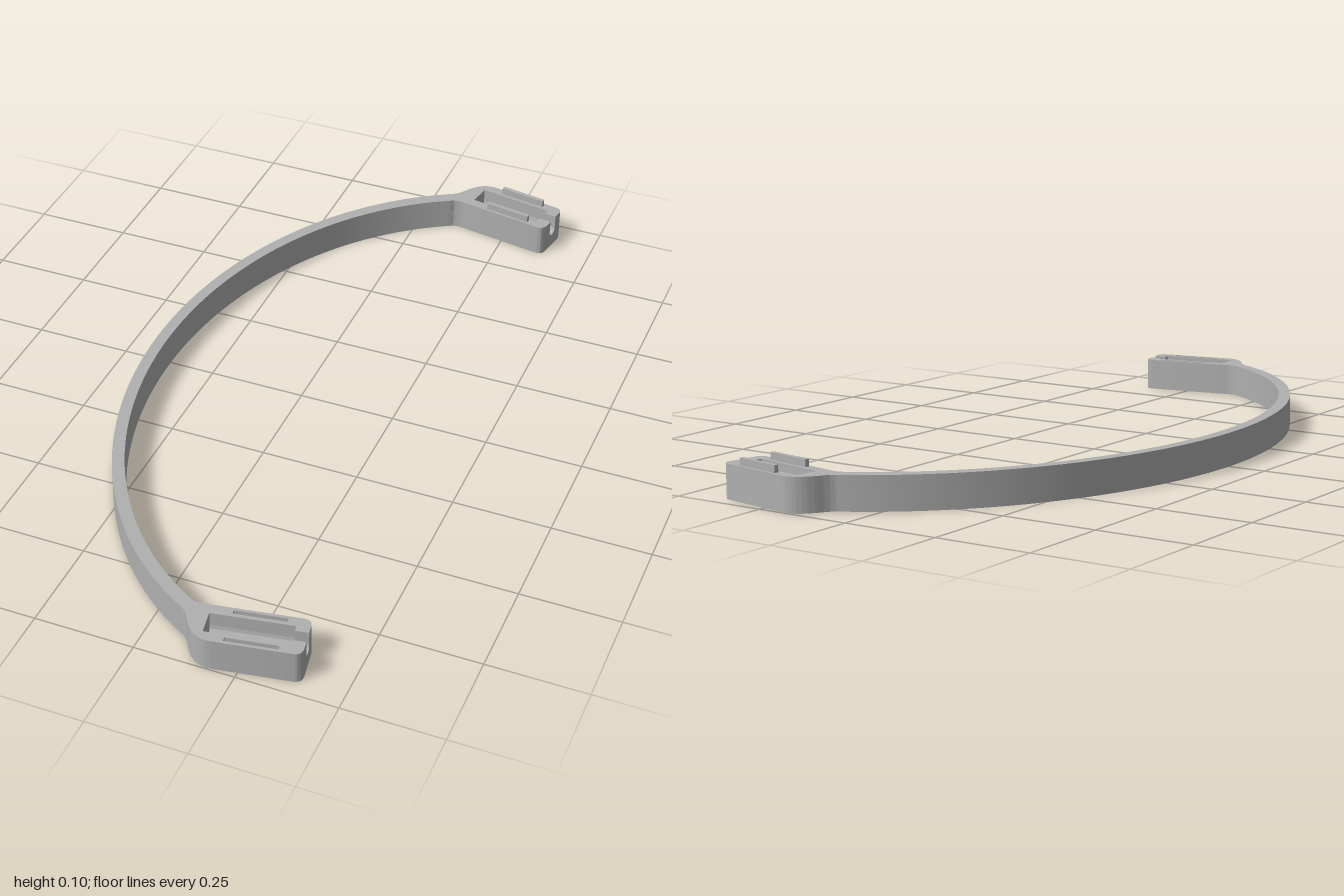
import * as THREE from 'three';
import { toCreasedNormals } from 'three/addons/utils/BufferGeometryUtils.js';

const TILT = THREE.MathUtils.degToRad(10);
const POD = { x: 0.27, z: 0.923 };
const END = 0.118, HALF = 0.058;               // pod end and half width
const SLOT = { start: -0.115, end: 0.085, half: 0.03 };
const NOTCH = 0.015;                           // half width of the end notch
const RAIL = { length: 0.126, width: 0.011, offset: 0.045 };

// pod coordinates (u along the pod, v outward) to plan coordinates (x, z)
const pod = (u, v) => new THREE.Vector2(
  POD.x + u * Math.cos(TILT) + v * Math.sin(TILT),
  POD.z - u * Math.sin(TILT) + v * Math.cos(TILT));

const rect = (u0, u1, v0, v1) => [pod(u0, v0), pod(u1, v0), pod(u1, v1), pod(u0, v1)];
const flip = (points) => points.map((p) => new THREE.Vector2(p.x, -p.y)).reverse();

// plan outline of the whole band with both pods, optionally cut open by notch and slot
function outline(open) {
  const p = new THREE.Path();
  const line = (u, v) => { const a = pod(u, v); p.lineTo(a.x, a.y); };
  const curve = (cu, cv, u, v) => {
    const c = pod(cu, cv), a = pod(u, v);
    p.quadraticCurveTo(c.x, c.y, a.x, a.y);
  };
  const r = 0.022;
  p.absellipse(0.4, 0, 0.8, 1, Math.PI, Math.PI - 1.166, true);
  p.quadraticCurveTo(0.1, 0.927, 0.113, 0.95);
  curve(-0.137, HALF, -0.09, HALF);
  line(END - r, HALF);
  curve(END, HALF, END, HALF - r);
  if (open) {
    const { start, end, half } = SLOT;
    line(END, NOTCH); line(end, NOTCH); line(end, half); line(start, half);
    line(start, -half); line(end, -half); line(end, -NOTCH); line(END, -NOTCH);
  }
  line(END, -HALF + r);
  curve(END, -HALF, END - r, -HALF);
  line(-0.125, -HALF);
  p.quadraticCurveTo(0.118, 0.893, 0.1, 0.889);
  p.absellipse(0.4, 0, 0.77, 0.965, Math.PI - 1.17, Math.PI, false);
  const half = p.getPoints(24);
  return half.concat(flip(half).slice(1, -1));
}

// horizontal slice of the body between two heights
function slice(y0, y1, open, holes = []) {
  const shape = new THREE.Shape(outline(open));
  holes.forEach((h) => shape.holes.push(new THREE.Path(h)));
  const g = new THREE.ExtrudeGeometry(shape, { depth: y1 - y0, bevelEnabled: false });
  g.rotateX(Math.PI / 2).translate(0, y1, 0);
  return toCreasedNormals(g, 0.5);
}

// block with a half-round channel, running along u
function channel(u0, u1, r, bottom, centre) {
  const s = new THREE.Shape();
  s.moveTo(-r, bottom);
  s.lineTo(r, bottom);
  s.lineTo(r, centre);
  s.absarc(0, centre, r, 0, Math.PI, true);
  s.closePath();
  const g = new THREE.ExtrudeGeometry(s, { depth: u1 - u0, bevelEnabled: false, curveSegments: 20 });
  g.rotateY(Math.PI / 2).translate(u0, 0, 0);
  return toCreasedNormals(g, 0.5);
}

export function createModel() {
  const model = new THREE.Group();
  const grey = new THREE.MeshStandardMaterial({ color: 0xb0b0b0 });
  grey.name = 'grey';
  const add = (parent, geometry, name) => {
    const mesh = new THREE.Mesh(geometry, grey);
    mesh.name = name;
    parent.add(mesh);
    return mesh;
  };

  // curved band with pods, stacked from slices
  const slot = rect(SLOT.start, SLOT.end, -SLOT.half, SLOT.half);
  const grooves = [-1, 1].map((s) => rect(-RAIL.length / 2, RAIL.length / 2,
    s * RAIL.offset - RAIL.width / 2, s * RAIL.offset + RAIL.width / 2));
  add(model, slice(0, 0.016, false), 'bandFloor');
  add(model, slice(0.016, 0.034, false, [slot, flip(slot)]), 'bandLower');
  add(model, slice(0.034, 0.068, true), 'bandMiddle');
  add(model, slice(0.068, 0.085, true, grooves), 'bandTop');

  // rounded slot and notch bottoms in each pod, rails on the rear pod only
  for (const side of [1, -1]) {
    const mirror = new THREE.Group();
    mirror.name = side > 0 ? 'frontPod' : 'rearPod';
    mirror.scale.z = side;
    const inner = new THREE.Group();
    inner.name = 'podDetails';
    inner.position.set(POD.x, 0, POD.z);
    inner.rotation.y = TILT;
    mirror.add(inner);
    add(inner, channel(SLOT.start, SLOT.end, SLOT.half, 0.016, 0.05), 'slotChannel');
    add(inner, channel(SLOT.end, END, NOTCH, 0.034, 0.05), 'notchChannel');
    if (side < 0) {
      for (const s of [-1, 1]) {
        const rail = add(inner, new THREE.BoxGeometry(RAIL.length, 0.02, RAIL.width), 'rail');
        rail.position.set(0, 0.093, s * RAIL.offset);
      }
    }
    model.add(mirror);
  }
  return model;
}
